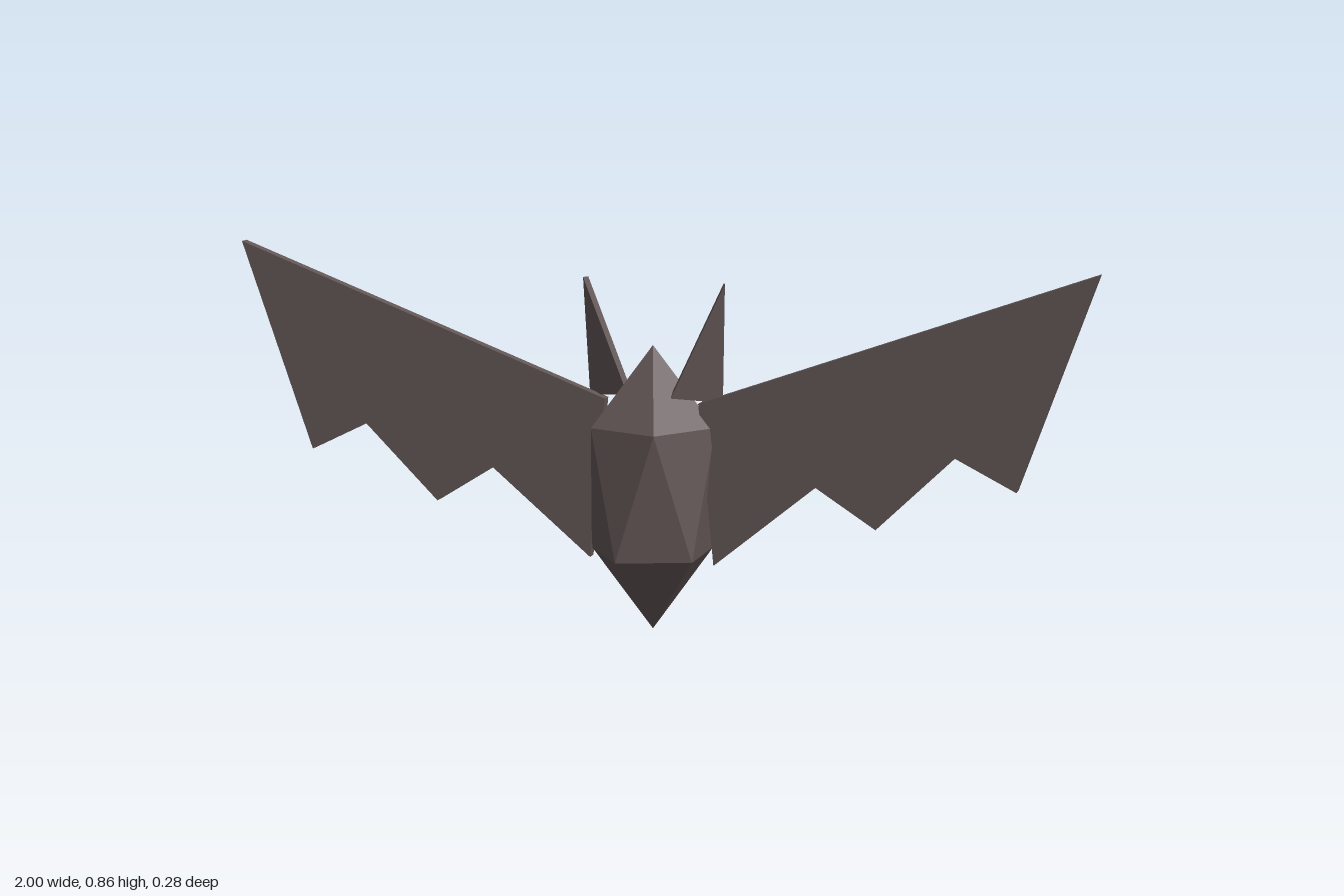
import * as THREE from 'three';
import { ConvexGeometry } from 'three/addons/geometries/ConvexGeometry.js';

export function createModel() {
  const group = new THREE.Group();
  const fur = new THREE.MeshStandardMaterial({ color: 0x625655, flatShading: true });
  fur.name = 'greyBrown';

  const add = (name, geometry) => {
    const mesh = new THREE.Mesh(geometry, fur);
    mesh.name = name;
    group.add(mesh);
  };

  // Body: an icosahedron standing on one vertex, stretched upwards
  const body = new THREE.IcosahedronGeometry(1, 0);
  body.rotateX(-Math.atan((1 + Math.sqrt(5)) / 2));
  body.rotateY(Math.PI / 2);
  body.scale(0.164, 0.328, 0.164);
  body.translate(0, 0.328, 0);
  add('body', body);

  // Wing outline with a scalloped lower edge
  const wingOutline = [
    [0.11, 0.53], [1, 0.855], [0.832, 0.372], [0.695, 0.44],
    [0.52, 0.268], [0.382, 0.355], [0.147, 0.16],
  ];
  // Ear corners on the inner sheet: tip, inner base, outer base
  const earCorners = [[0.165, 0.803, 0], [0.05, 0.545, 0.032], [0.156, 0.532, -0.02]];

  for (const [side, s] of [['left', 1], ['right', -1]]) {
    const shape = new THREE.Shape(wingOutline.map(([x, y]) => new THREE.Vector2(s * x, y)));
    const wing = new THREE.ExtrudeGeometry(shape, { depth: 0.025, bevelEnabled: false });
    wing.translate(0, 0, -0.0125);
    add(side + 'Wing', wing);

    // The ears are thickened in opposite directions, forward on the left
    const points = earCorners.flatMap(([x, y, z]) => [
      new THREE.Vector3(s * x, y, z),
      new THREE.Vector3(s * x + 0.007, y, z + s * 0.016),
    ]);
    add(side + 'Ear', new ConvexGeometry(points));
  }
  return group;
}
